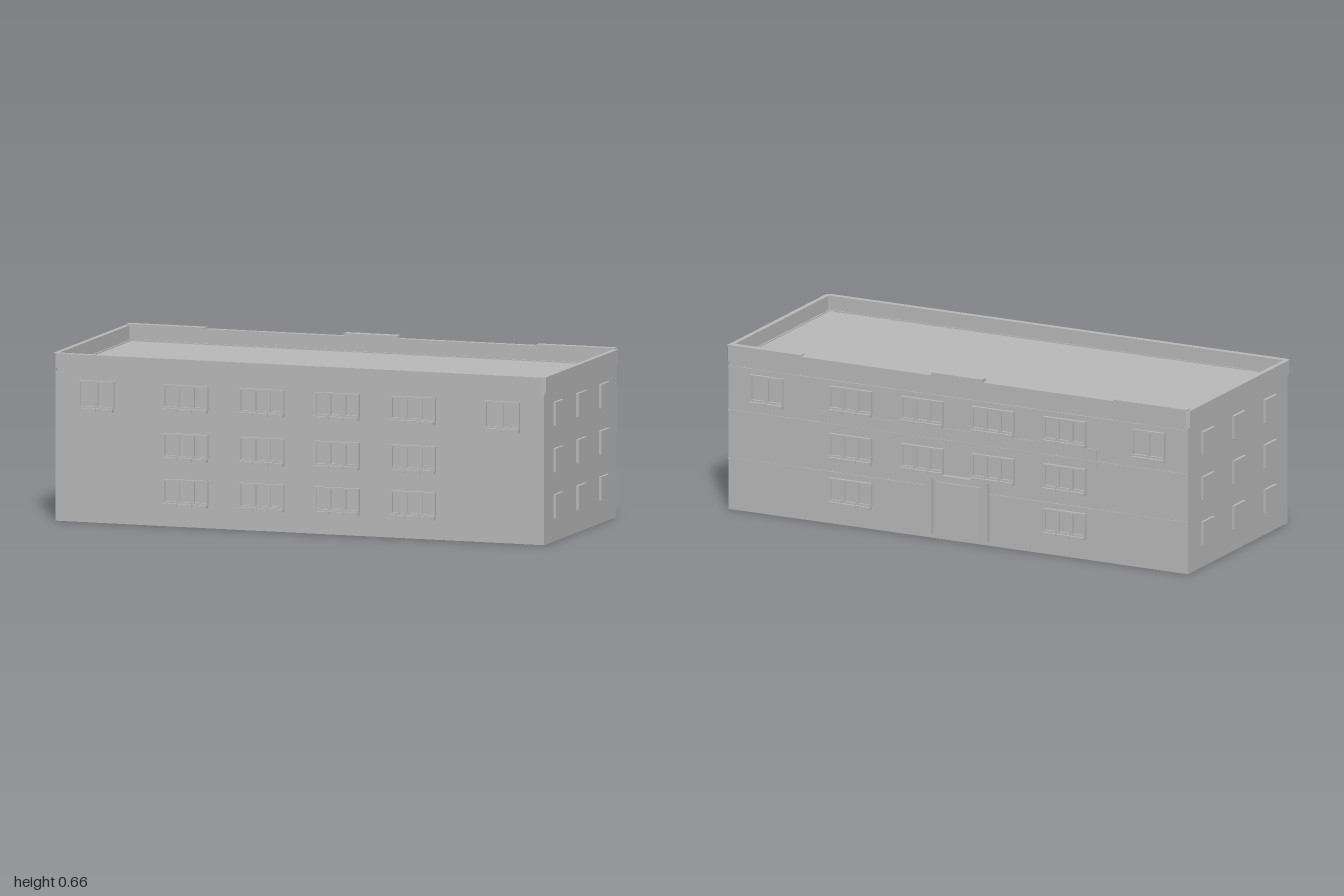
import * as THREE from 'three';

const wall = new THREE.MeshStandardMaterial({ color: 0xb8b8b8 });
wall.name = 'plainGrey';

// Box given by its limits on each axis
function slab(name, x0, x1, y0, y1, z0, z1) {
  const mesh = new THREE.Mesh(new THREE.BoxGeometry(x1 - x0, y1 - y0, z1 - z0), wall);
  mesh.position.set((x0 + x1) / 2, (y0 + y1) / 2, (z0 + z1) / 2);
  mesh.name = name;
  return mesh;
}

// Rectangle outline with clipped corners
function outline(path, hx, hz, c) {
  path.moveTo(-hx + c, -hz);
  [[hx - c, -hz], [hx, -hz + c], [hx, hz - c], [hx - c, hz],
    [-hx + c, hz], [-hx, hz - c], [-hx, -hz + c]].forEach(([x, y]) => path.lineTo(x, y));
  path.closePath();
  return path;
}

// Horizontal ring around the building
function ring(name, hx, hz, inX, inZ, y0, y1) {
  const shape = outline(new THREE.Shape(), hx, hz, 0.012);
  shape.holes.push(outline(new THREE.Path(), inX, inZ, 0.002));
  const geo = new THREE.ExtrudeGeometry(shape, { depth: y1 - y0, bevelEnabled: false });
  geo.rotateX(-Math.PI / 2);
  const mesh = new THREE.Mesh(geo, wall);
  mesh.position.y = y0;
  mesh.name = name;
  return mesh;
}

const FACE = 0.405;

// Casement window facing +z: open frame, recessed panes and a sill per pane
function casement(x, y0, y1, panes) {
  const g = new THREE.Group();
  g.name = 'window';
  const w = panes === 3 ? 0.06 : 0.07;
  const half = (w * panes) / 2;
  const b = 0.007;
  const shape = new THREE.Shape();
  shape.moveTo(-half, y0).lineTo(half, y0).lineTo(half, y1).lineTo(-half, y1).closePath();
  for (let i = 0; i < panes; i++) {
    const l = -half + i * w + b, r = l + w - 2 * b;
    const hole = new THREE.Path();
    hole.moveTo(l, y0 + b).lineTo(l, y1 - b).lineTo(r, y1 - b).lineTo(r, y0 + b).closePath();
    shape.holes.push(hole);
    g.add(slab('sill', l - b + 0.001, r + b - 0.001, y0 - 0.013, y0, FACE, 0.427));
  }
  const frame = new THREE.Mesh(
    new THREE.ExtrudeGeometry(shape, { depth: 0.012, bevelEnabled: false }), wall);
  frame.position.z = FACE;
  frame.name = 'windowFrame';
  g.add(frame, slab('panes', -half + 0.002, half - 0.002, y0 + 0.002, y1 - 0.002, FACE - 0.002, 0.408));
  g.position.x = x;
  return g;
}

export function createModel() {
  const model = new THREE.Group();
  model.name = 'building';

  // Main block, cornice and roof parapet
  model.add(slab('mainBlock', -0.987, 0.987, 0, 0.585, -FACE, FACE));
  model.add(ring('cornice', 0.991, 0.41, 0.97, 0.39, 0.575, 0.589));
  model.add(ring('parapet', 0.995, 0.417, 0.976, 0.394, 0.589, 0.645));

  // Front and back facades share the window grid; the back leaves room for the door
  const floors = [[0.09, 0.182], [0.266, 0.358], [0.455, 0.545]];
  const front = new THREE.Group();
  front.name = 'frontFacade';
  const back = new THREE.Group();
  back.name = 'backFacade';
  back.rotation.y = Math.PI;
  [front, back].forEach((facade) => {
    floors.forEach(([y0, y1], floor) => {
      [-0.46, -0.152, 0.152, 0.46].forEach((x) => {
        if (facade === back && floor === 0 && Math.abs(x) < 0.3) return;
        facade.add(casement(x, y0, y1, 3));
      });
    });
    [-0.82, 0.82].forEach((x) => facade.add(casement(x, 0.44, 0.545, 2)));
  });

  // Back relief: string courses, end bays and band above the middle floor
  back.add(slab('lowerCourse', -0.987, -0.13, 0.198, 0.205, FACE, 0.409));
  back.add(slab('lowerCourse', 0.13, 0.987, 0.198, 0.205, FACE, 0.409));
  back.add(slab('upperCourse', -0.987, 0.987, 0.388, 0.395, FACE, 0.41));
  back.add(slab('topCourse', -0.987, 0.987, 0.56, 0.567, FACE, 0.41));
  back.add(slab('middleBand', -0.595, 0.595, 0.365, 0.44, FACE, 0.408));
  [-1, 1].forEach((s) => {
    const a = s * 0.67, b = s * 0.987;
    back.add(slab('endBay', Math.min(a, b), Math.max(a, b), 0, 0.575, FACE, 0.407));
    back.add(slab('parapetCap', Math.min(a, b), Math.max(a, b), 0.645, 0.651, 0.39, 0.417));
  });
  back.add(slab('centreCap', -0.11, 0.11, 0.645, 0.657, 0.389, 0.419));

  // Entrance portal with recessed door leaf
  const door = new THREE.Group();
  door.name = 'entrance';
  [-0.12, 0.12].forEach((x) => {
    door.add(slab('doorPost', x - 0.013, x + 0.013, 0.02, 0.245, FACE, 0.424));
  });
  door.add(slab('lintel', -0.133, 0.133, 0.243, 0.256, FACE, 0.424));
  door.add(slab('doorLeaf', -0.095, 0.095, 0.02, 0.225, FACE, 0.411));
  back.add(door);
  model.add(front, back);

  // Plain square windows on both ends
  [-1, 1].forEach((s) => {
    [0.09, 0.267, 0.445].forEach((y) => {
      [-0.255, 0, 0.255].forEach((z) => {
        const a = s * 0.985, b = s * 0.998;
        model.add(slab('endWindow', Math.min(a, b), Math.max(a, b), y, y + 0.091, z - 0.046, z + 0.046));
      });
    });
  });
  return model;
}
